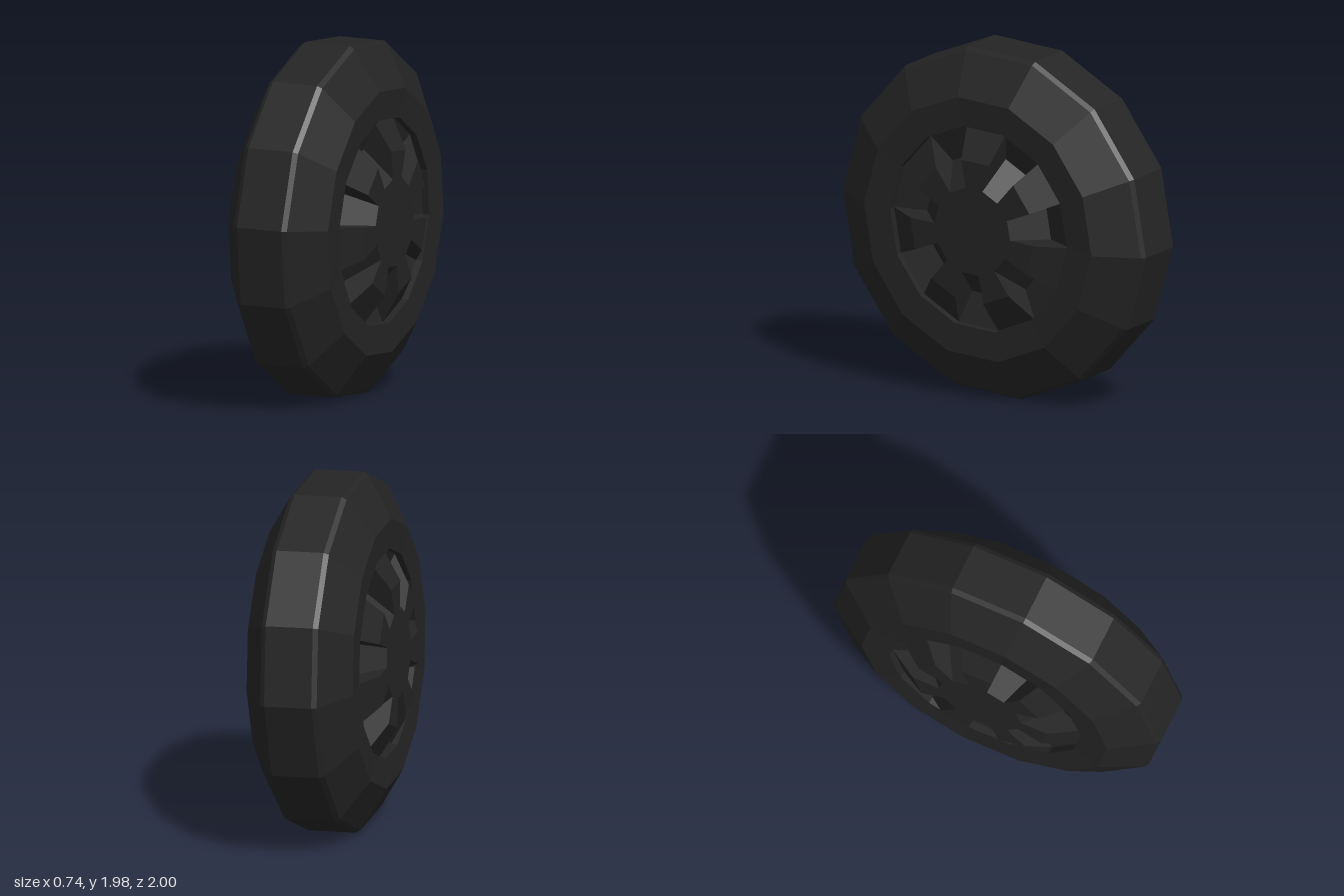
import * as THREE from 'three';

const SIDES = 14;
const STEP = (Math.PI * 2) / SIDES;
const START = THREE.MathUtils.degToRad(9.2);

// A profile point [x, radius] swung around the axle (x axis) to corner i
function at([x, r], i) {
  const a = START + i * STEP;
  return [x, r * Math.cos(a), r * Math.sin(a)];
}

// Collects flat faces and can mirror each one to the other side of the wheel
function makeFaces() {
  const pos = [];
  const tri = (a, b, c) => {
    pos.push(...a, ...b, ...c);
    const m = ([x, y, z]) => [-x, y, z];
    pos.push(...m(a), ...m(c), ...m(b));
  };
  const quad = (a, b, c, d) => { tri(a, b, c); tri(a, c, d); };
  // strip of one sector following a profile from the tread to the hub
  const strip = (profile, i) => {
    for (let k = 0; k < profile.length - 1; k++) {
      const p = profile[k], q = profile[k + 1];
      quad(at(p, i), at(p, i + 1), at(q, i + 1), at(q, i));
    }
  };
  const build = () => {
    const g = new THREE.BufferGeometry();
    g.setAttribute('position', new THREE.Float32BufferAttribute(pos, 3));
    g.computeVertexNormals();
    return g;
  };
  return { tri, quad, strip, build };
}

export function createModel() {
  const rubber = new THREE.MeshStandardMaterial({ color: 0x242424, flatShading: true });
  rubber.name = 'darkRubber';

  // Tyre: tread, small bevel, shoulder, sidewall and inner lip
  const tyreProfile = [[0, 1.002], [0.135, 1.002], [0.162, 0.985], [0.304, 0.752], [0.295, 0.585], [0.255, 0.585]];
  const tyre = makeFaces();
  for (let i = 0; i < SIDES; i++) tyre.strip(tyreProfile, i);

  // Rim: seven spokes alternating with seven V-shaped pockets
  const edge = [0.255, 0.585], top = [0.36, 0.41], hub = [0.36, 0.25], pit = [0.19, 0.41];
  const rim = makeFaces();
  for (let i = 0; i < SIDES; i++) {
    const pocket = i % 2 === 0;
    rim.strip([edge, pocket ? pit : top, hub], i);
    if (pocket) {
      // pocket side walls
      const j = i + 1;
      rim.quad(at(pit, i), at(hub, i), at(top, i), at(edge, i));
      rim.quad(at(pit, j), at(edge, j), at(top, j), at(hub, j));
    }
    // flat hub disc
    rim.tri(at(hub, i), at(hub, i + 1), [0.36, 0, 0]);
  }

  const wheel = new THREE.Group();
  wheel.name = 'wheel';
  for (const [name, faces] of [['tyre', tyre], ['rim', rim]]) {
    const mesh = new THREE.Mesh(faces.build(), rubber);
    mesh.name = name;
    wheel.add(mesh);
  }
  // slight lean
  wheel.position.y = 1;
  wheel.rotation.set(0, THREE.MathUtils.degToRad(0.3), THREE.MathUtils.degToRad(-1.4));

  const model = new THREE.Group();
  model.name = 'wheelModel';
  model.add(wheel);
  return model;
}
